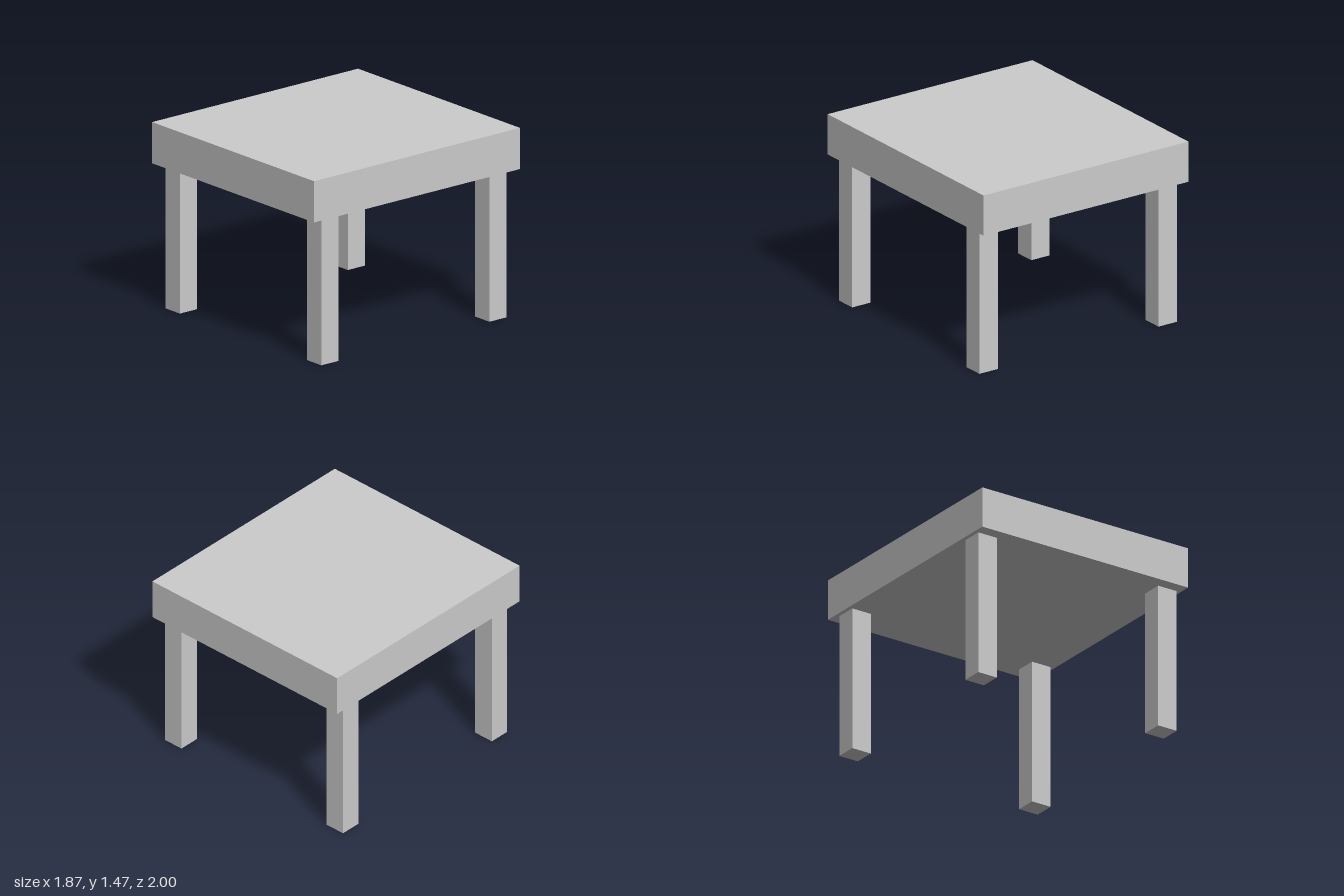
import * as THREE from 'three';

export function createModel() {
  const table = new THREE.Group();
  table.name = 'table';
  const material = new THREE.MeshStandardMaterial({ color: 0xcccccc, flatShading: true });

  const height = 1.467, slab = 0.322, legHeight = height - slab;
  const legWidth = 0.168, legOffset = 0.816;

  const addBox = (name, w, h, d, x, y, z) => {
    const mesh = new THREE.Mesh(new THREE.BoxGeometry(w, h, d), material);
    mesh.name = name;
    mesh.position.set(x, y, z);
    table.add(mesh);
  };

  // Thick table top
  addBox('tableTop', 1.867, slab, 2, 0, legHeight + slab / 2, 0);

  // Four square legs, set in from the corners
  for (const [side, sx] of [['Left', 1], ['Right', -1]]) {
    for (const [end, sz] of [['front', 1], ['back', -1]]) {
      addBox(`${end}${side}Leg`, legWidth, legHeight, legWidth,
        sx * legOffset, legHeight / 2, sz * legOffset);
    }
  }
  return table;
}
